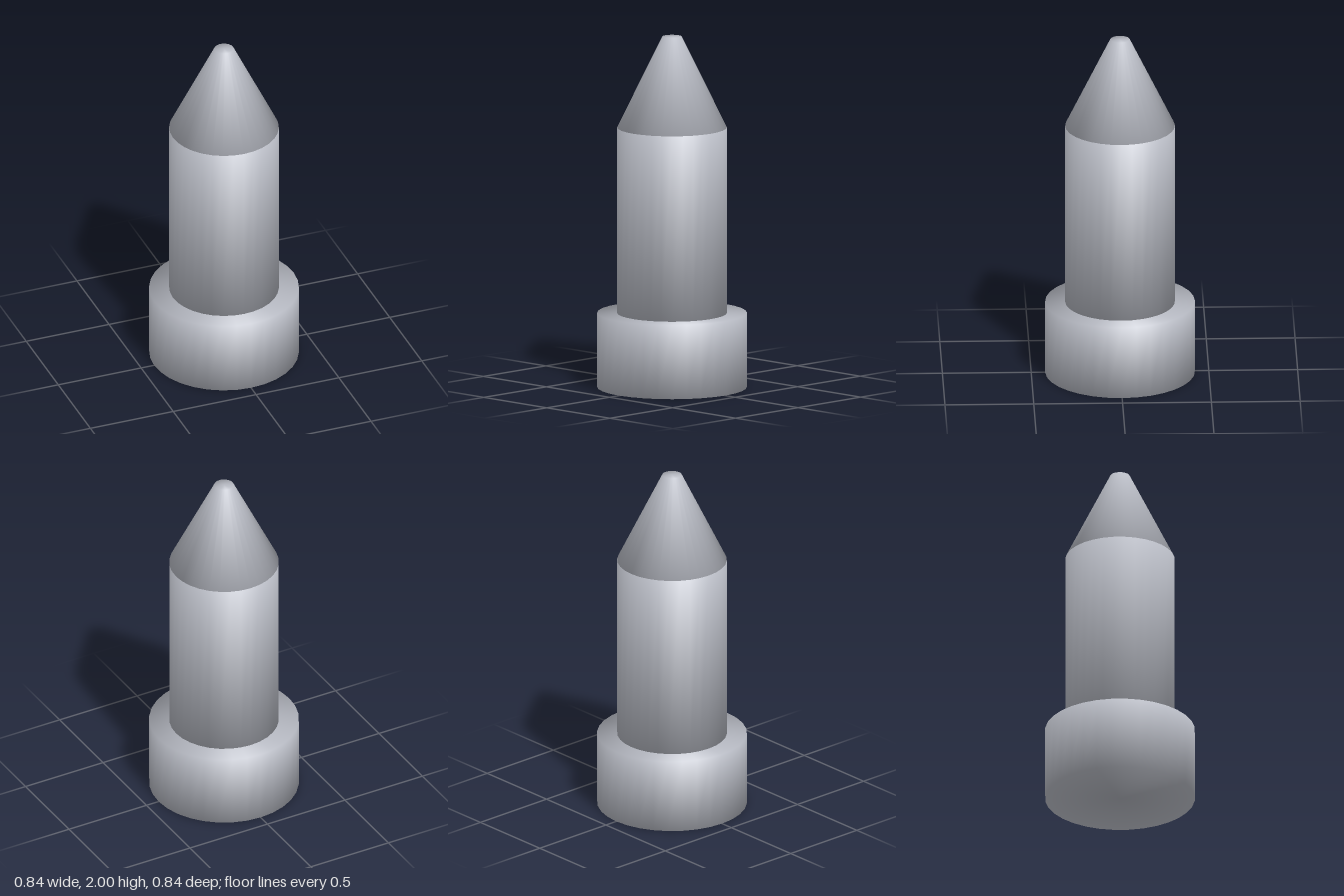
import * as THREE from 'three';
import { mergeVertices } from 'three/addons/utils/BufferGeometryUtils.js';

// Capped round section whose sides and caps share smooth normals:
// every corner averages the unit normals of the triangles around it.
function roundSection(topRadius, bottomRadius, y0, y1) {
  let geo = new THREE.CylinderGeometry(topRadius, bottomRadius, y1 - y0, 32);
  geo.translate(0, (y0 + y1) / 2, 0);
  geo.deleteAttribute('normal');
  geo.deleteAttribute('uv');
  geo.clearGroups();
  geo = mergeVertices(geo, 1e-4);

  const pos = geo.attributes.position;
  const index = geo.index;
  const normals = Array.from({ length: pos.count }, () => new THREE.Vector3());
  const tri = new THREE.Triangle();
  const n = new THREE.Vector3();
  for (let i = 0; i < index.count; i += 3) {
    const ids = [index.getX(i), index.getX(i + 1), index.getX(i + 2)];
    tri.setFromAttributeAndIndices(pos, ...ids);
    tri.getNormal(n);
    ids.forEach((id) => normals[id].add(n));
  }
  const flat = normals.flatMap((v) => v.normalize().toArray());
  geo.setAttribute('normal', new THREE.Float32BufferAttribute(flat, 3));
  return geo;
}

export function createModel() {
  const model = new THREE.Group();
  model.name = 'pointedPin';

  const metal = new THREE.MeshStandardMaterial({ color: 0xb8bbc4 });
  metal.name = 'light grey metal';

  const add = (name, topRadius, bottomRadius, y0, y1) => {
    const mesh = new THREE.Mesh(roundSection(topRadius, bottomRadius, y0, y1), metal);
    mesh.name = name;
    model.add(mesh);
  };

  // Wide foot, straight shaft, blunt tapered point
  add('baseCollar', 0.422, 0.422, 0, 0.423);
  add('shaft', 0.309, 0.309, 0.423, 1.481);
  add('taperedTip', 0.055, 0.309, 1.481, 2);

  return model;
}
